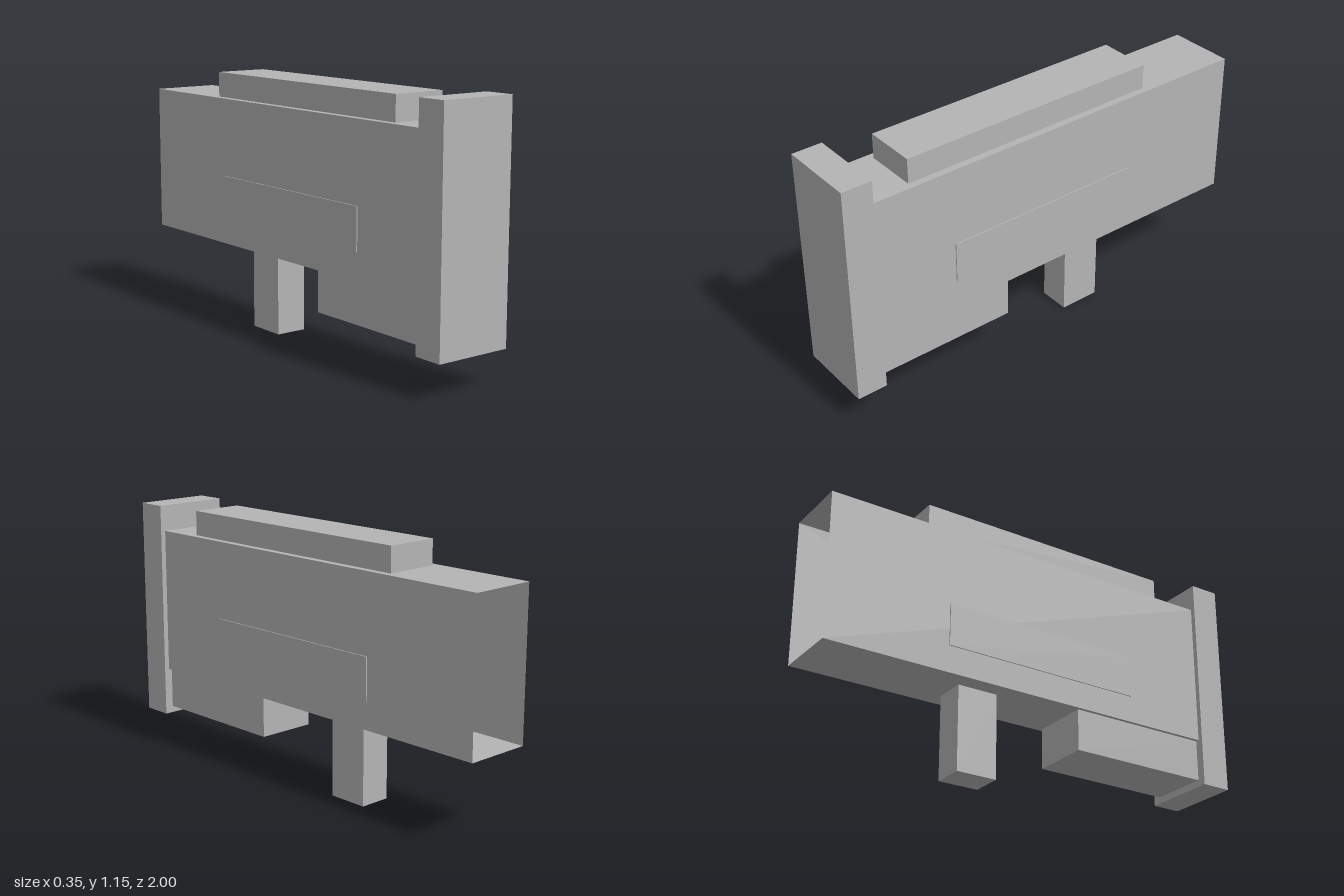
import * as THREE from 'three';

export function createModel() {
  const group = new THREE.Group();
  group.name = 'boxyDevice';

  const grey = new THREE.MeshStandardMaterial({ color: 0xb4b4b4 });
  grey.name = 'grey';
  const greyShell = new THREE.MeshStandardMaterial({ color: 0xb4b4b4, side: THREE.DoubleSide });
  greyShell.name = 'grey shell';

  // Box given by its limits on each axis
  function block(name, [x0, x1], [y0, y1], [z0, z1]) {
    const mesh = new THREE.Mesh(new THREE.BoxGeometry(x1 - x0, y1 - y0, z1 - z0), grey);
    mesh.position.set((x0 + x1) / 2, (y0 + y1) / 2, (z0 + z1) / 2);
    mesh.name = name;
    group.add(mesh);
    return mesh;
  }

  // Thin-walled body, open at the back and closed off by the front plate
  const body = block('body', [-0.151, 0.151], [0.375, 1.03], [-1, 0.865]);
  body.material = greyShell;
  const sides = Array.from(body.geometry.index.array).slice(0, 24); // four walls, no end faces
  body.geometry.setIndex(sides);
  body.geometry.clearGroups();

  block('frontPlate', [-0.174, 0.174], [0.16, 1.147], [0.865, 1]);
  block('topRail', [-0.12, 0.12], [1.03, 1.14], [-0.535, 0.673]);
  block('lowerBlock', [-0.135, 0.135], [0.19, 0.375], [0.21, 0.865]);
  block('handle', [-0.071, 0.071], [0, 0.375], [-0.345, -0.16]);

  // Thin raised panels on both sides
  block('leftPanel', [0.151, 0.156], [0.495, 0.683], [-0.44, 0.485]);
  block('rightPanel', [-0.156, -0.151], [0.495, 0.683], [-0.44, 0.485]);

  return group;
}
